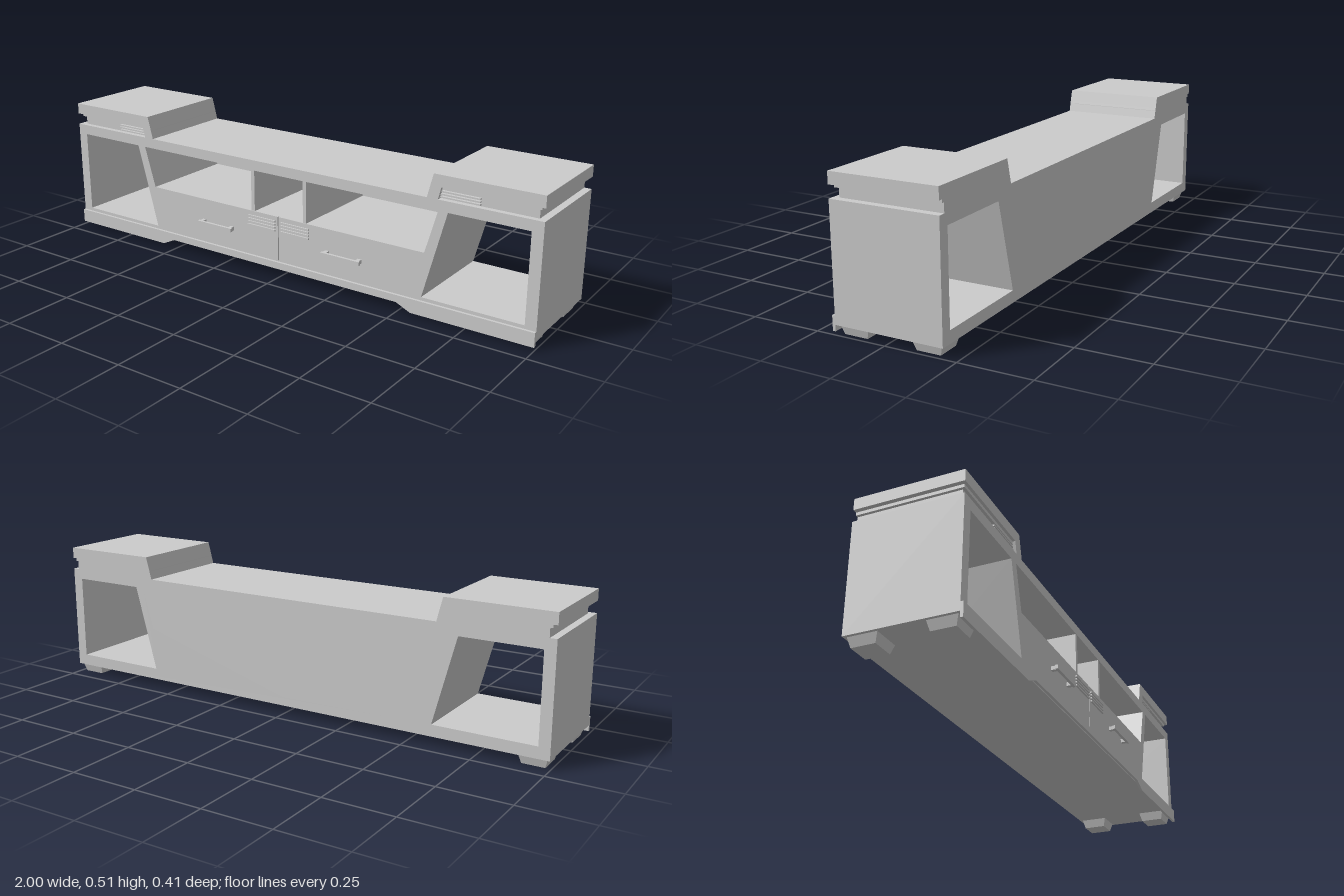
import * as THREE from 'three';

const material = new THREE.MeshStandardMaterial({ color: 0xcccccc });

export function createModel() {
  const group = new THREE.Group();
  group.name = 'mediaConsole';

  const add = (name, geometry) => {
    const mesh = new THREE.Mesh(geometry, material);
    mesh.name = name;
    group.add(mesh);
    return mesh;
  };
  const box = (name, x0, x1, y0, y1, z0, z1) =>
    add(name, new THREE.BoxGeometry(Math.abs(x1 - x0), y1 - y0, z1 - z0)
      .translate((x0 + x1) / 2, (y0 + y1) / 2, (z0 + z1) / 2));
  const vectors = (points, s = 1) => points.map(([x, y]) => new THREE.Vector2(x * s, y));
  // Front profile extruded from z0 to z1, with optional holes
  const panel = (name, points, z0, z1, s = 1, holes = []) => {
    const shape = new THREE.Shape(vectors(points, s));
    for (const hole of holes) shape.holes.push(new THREE.Path(hole));
    const geometry = new THREE.ExtrudeGeometry(shape, { depth: z1 - z0, bevelEnabled: false });
    return add(name, geometry.translate(0, 0, z0));
  };

  const back = -0.205, front = 0.18, deck = 0.428;

  // Carcass with two open side cubbies and the central shelf, whose outline
  // includes the narrow seam between the drawers
  const cubby = [[0.96, 0.075], [0.96, 0.39], [0.675, 0.39], [0.59, 0.075]];
  const shelf = [
    [-0.64, 0.39], [-0.595, 0.235], [-0.002, 0.235], [-0.002, 0.066],
    [0.002, 0.066], [0.002, 0.235], [0.595, 0.235], [0.64, 0.39],
  ];
  panel('carcass', [[-1, 0.033], [1, 0.033], [1, deck], [-1, deck]], back, front, 1,
    [vectors(cubby), vectors(cubby, -1), vectors(shelf)]);
  box('drawerSeamFill', -0.002, 0.002, 0.066, 0.235, back, front - 0.006);
  panel('backPanel', [[-0.595, 0.235], [0.595, 0.235], [0.64, 0.39], [-0.64, 0.39]],
    back, back + 0.01);

  // Plinth board with raised middle
  panel('plinth', [
    [-1, 0.012], [-0.555, 0.012], [-0.5, 0.037], [0.5, 0.037], [0.555, 0.012], [1, 0.012],
    [1, 0.063], [-1, 0.063],
  ], front, 0.19);

  for (const s of [-1, 1]) {
    box('shelfDivider', s * 0.107, s * 0.122, 0.235, 0.39, back + 0.01, front - 0.002);

    // Raised end platform: recessed neck, step, slanted arm and overhanging top
    panel('platformNeck', [[0.6, deck], [0.975, deck], [0.975, 0.46], [0.605, 0.46]],
      back, 0.16, s);
    panel('platformStep', [[0.605, 0.46], [0.985, 0.46], [0.985, 0.471], [0.608, 0.471]],
      back, 0.17, s);
    panel('platformArm', [[0.597, deck], [0.637, deck], [0.648, 0.471], [0.608, 0.471]],
      back, front, s);
    panel('platformTop', [[0.608, 0.471], [1, 0.471], [1, 0.512], [0.619, 0.512]],
      back, front, s);

    // Vent slats under the platform
    for (let i = 0; i < 3; i++) {
      const y = 0.432 + i * 0.0095;
      box('platformVentSlat', s * 0.635, s * 0.78, y, y + 0.005, 0.155, 0.17);
    }

    // Drawer vent slats
    for (let i = 0; i < 4; i++) {
      const y = 0.178 + i * 0.0115;
      box('drawerVentSlat', s * 0.012, s * 0.135, y, y + 0.006, front - 0.002, 0.186);
    }

    // Drawer handle
    box('handleBar', s * 0.2, s * 0.36, 0.14, 0.154, 0.197, 0.207);
    for (const x of [0.205, 0.34])
      box('handlePost', s * x, s * (x + 0.015), 0.14, 0.154, front - 0.002, 0.198);

    // Tapered feet
    for (const z of [0.118, -0.143]) {
      const foot = new THREE.BoxGeometry(0.1, 0.035, 0.104);
      const p = foot.attributes.position;
      for (let i = 0; i < p.count; i++)
        if (p.getY(i) < 0) {
          p.setX(i, p.getX(i) * 0.8);
          p.setZ(i, p.getZ(i) * 0.81);
        }
      foot.translate(s * 0.94, 0.0175, z);
      foot.computeVertexNormals();
      add('foot', foot);
    }
  }

  return group;
}
